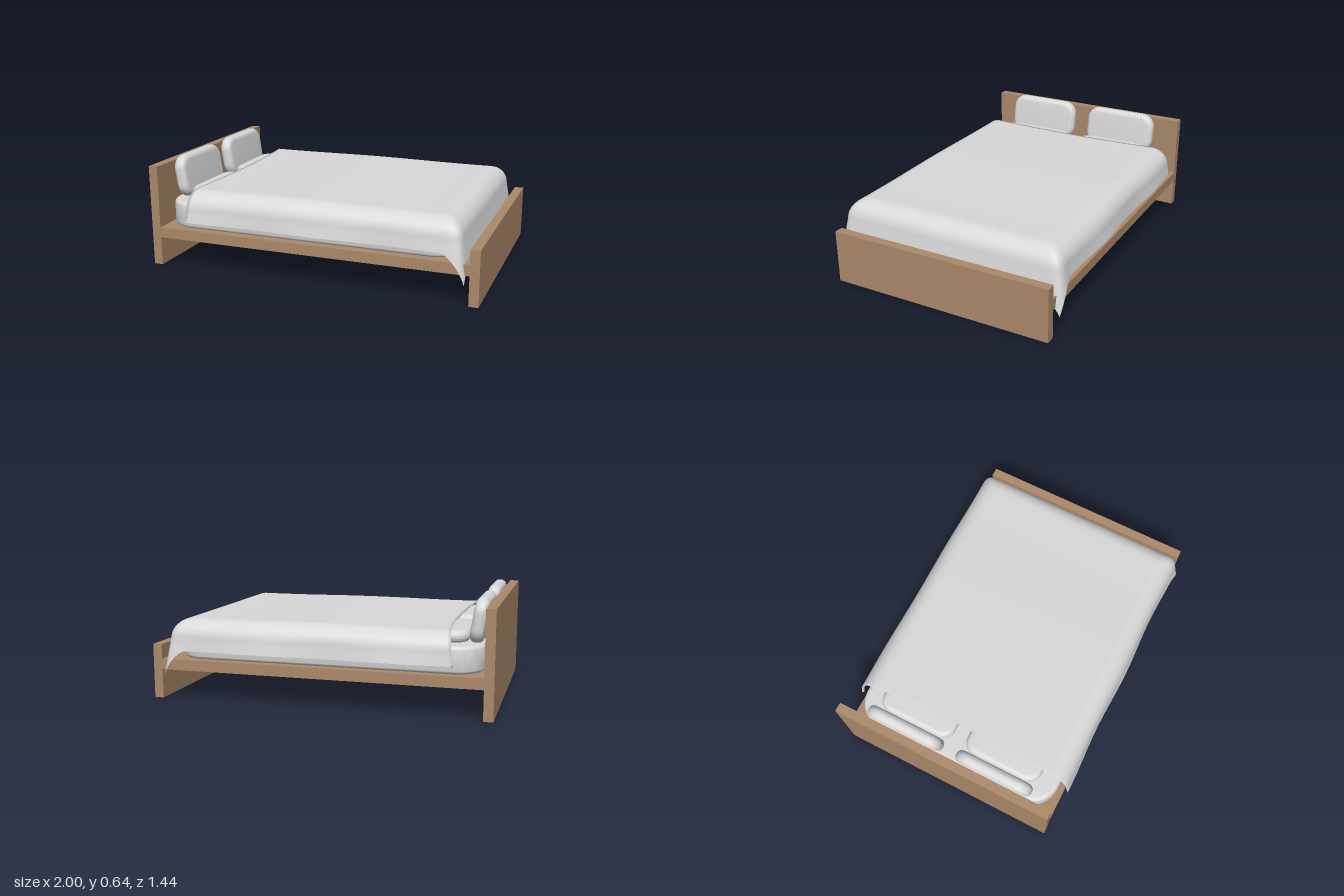
import * as THREE from 'three';
import { toCreasedNormals } from 'three/addons/utils/BufferGeometryUtils.js';

const wood = new THREE.MeshStandardMaterial({ color: 0xab896a });
wood.name = 'wood';
const linen = new THREE.MeshStandardMaterial({ color: 0xd8d8d8, side: THREE.DoubleSide });
linen.name = 'linen';

function add(group, name, geometry, material, x = 0, y = 0, z = 0) {
  const mesh = new THREE.Mesh(geometry, material);
  mesh.name = name;
  mesh.position.set(x, y, z);
  group.add(mesh);
  return mesh;
}

// Rounded slab w by h in XY, t thick in Z, with corner radius r and soft edge b
function cushion(w, h, t, r, b) {
  const x = w / 2 - b, y = h / 2 - b, c = r - b;
  const s = new THREE.Shape();
  s.absarc(x - c, y - c, c, 0, Math.PI / 2);
  s.absarc(-x + c, y - c, c, Math.PI / 2, Math.PI);
  s.absarc(-x + c, -y + c, c, Math.PI, Math.PI * 1.5);
  s.absarc(x - c, -y + c, c, Math.PI * 1.5, Math.PI * 2);
  s.closePath();
  const g = new THREE.ExtrudeGeometry(s, {
    depth: t - 2 * b, bevelSize: b, bevelThickness: b, bevelSegments: 6, curveSegments: 10,
  });
  g.translate(0, 0, b - t / 2);
  return toCreasedNormals(g, 0.8);
}

// Cloth draped over a box: distance past the top edge turns into reach and drop
function drape(a, b, target) {
  const footEdge = 0.78, sideEdge = 0.58, radius = 0.115, bend = radius * Math.PI / 2;
  const side = Math.sign(b);
  const da = Math.max(0, a - footEdge), db = Math.max(0, Math.abs(b) - sideEdge);
  const d = Math.hypot(da, db);
  let reach, drop;
  if (d < bend) {
    reach = radius * Math.sin(d / radius);
    drop = radius * (1 - Math.cos(d / radius));
  } else {
    reach = radius + (d - bend) * 0.17;
    drop = radius + (d - bend);
  }
  const n = Math.pow(da ** 5 + db ** 5, 0.2) || 1;
  const hang = Math.min(1, d / 0.25);
  const corner = da * db / 0.075;
  const wave = 0.006 * hang * hang * Math.sin(a * 8 + side);
  return target.set(
    Math.min(a, footEdge) + reach * da / n,
    0.477 - drop - 0.03 * corner * corner + 0.003 * Math.cos(a * 5) * (1 - hang),
    side * (Math.min(Math.abs(b), sideEdge) + (reach + wave) * db / n + 0.01 * corner)
  );
}

function blanketGeometry() {
  const nu = 90, nv = 100, halfWidth = 0.83, footEnd = 1.08;
  const g = new THREE.PlaneGeometry(1, 1, nu, nv);
  const p = g.attributes.position, v = new THREE.Vector3();
  for (let j = 0; j <= nv; j++) {
    for (let i = 0; i <= nu; i++) {
      const b = (j / nv * 2 - 1) * halfWidth;
      const k = Math.abs(b) / halfWidth;
      const head = -0.72 - (b < 0 ? 0.06 : 0.038) * k * k;
      // The first row is tucked under to give the head hem some thickness
      const u = Math.max(0, i - 1) / (nu - 1);
      drape(head + (footEnd - head) * u, b, v);
      if (i === 0) {
        v.x += 0.012;
        v.y -= 0.022 * (1 - 0.6 * k);
        v.z *= 0.985;
      }
      p.setXYZ(j * (nu + 1) + i, v.x, v.y, v.z);
    }
  }
  g.computeVertexNormals();
  return g;
}

export function createModel() {
  const bed = new THREE.Group();
  bed.name = 'bed';

  // Wooden frame
  add(bed, 'headboard', new THREE.BoxGeometry(0.055, 0.61, 1.37), wood, -0.9725, 0.305, 0);
  add(bed, 'footboard', new THREE.BoxGeometry(0.055, 0.322, 1.37), wood, 0.9725, 0.161, 0);
  add(bed, 'base', new THREE.BoxGeometry(1.89, 0.063, 1.37), wood, 0, 0.2045, 0);

  // Mattress
  const mattress = cushion(1.81, 1.3, 0.155, 0.17, 0.025);
  mattress.rotateX(-Math.PI / 2);
  add(bed, 'mattress', mattress, linen, -0.025, 0.314, 0);

  // Two upright pillows leaning on the headboard, two flat ones under the blanket
  const upright = cushion(0.48, 0.26, 0.075, 0.085, 0.033);
  upright.rotateY(Math.PI / 2);
  upright.rotateZ(0.15);
  const flat = cushion(0.3, 0.49, 0.07, 0.085, 0.032);
  flat.rotateX(-Math.PI / 2);
  for (const side of [-1, 1]) {
    const name = side > 0 ? 'left' : 'right';
    add(bed, name + 'UprightPillow', upright, linen, -0.887, 0.51, side * 0.292);
    add(bed, name + 'FlatPillow', flat, linen, -0.685, 0.422, side * 0.287);
  }

  add(bed, 'blanket', blanketGeometry(), linen);
  return bed;
}
